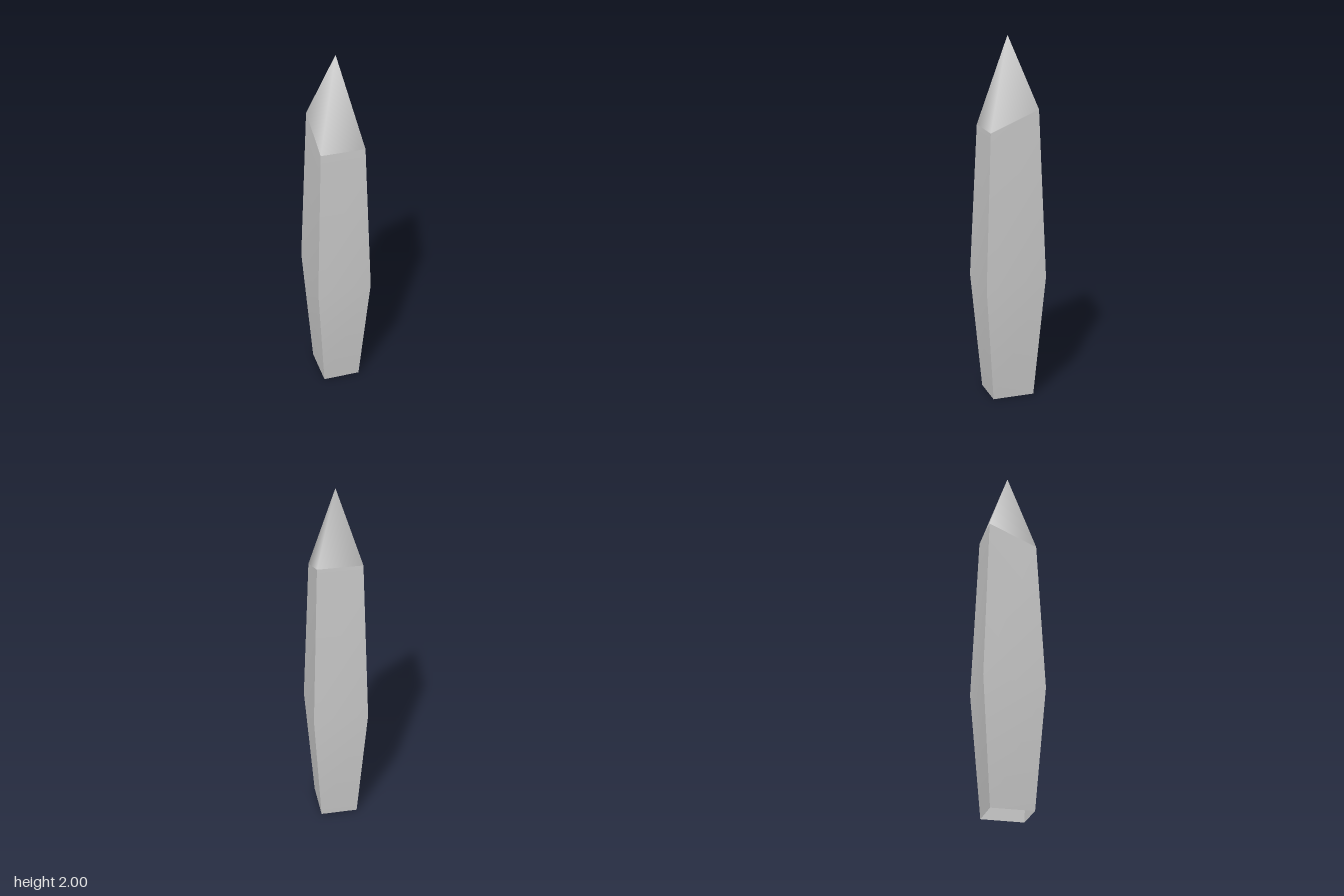
import * as THREE from 'three';

const material = new THREE.MeshStandardMaterial({ color: 0xcccccc, side: THREE.DoubleSide });

// Four corners of a rectangular section, counter-clockwise seen from above;
// the back pair may sit higher than the front pair.
const ring = (a, b, yFront, yBack) => [
  [-a, yFront, b], [a, yFront, b], [a, yBack, -b], [-a, yBack, -b],
];

function surface(name, points, index) {
  const geometry = new THREE.BufferGeometry();
  geometry.setAttribute('position', new THREE.Float32BufferAttribute(points.flat(), 3));
  geometry.setIndex(index);
  geometry.computeVertexNormals();
  const mesh = new THREE.Mesh(geometry, material);
  mesh.name = name;
  return mesh;
}

export function createModel() {
  const group = new THREE.Group();
  group.name = 'pointedPost';

  const shaft = new THREE.Group();
  shaft.name = 'shaft';
  shaft.rotation.y = Math.PI / 6;
  group.add(shaft);

  const bottom = ring(0.103, 0.117, 0, 0);
  const middle = ring(0.15, 0.169, 0.66, 0.7);
  const top = ring(0.12, 0.133, 1.51, 1.62);

  // Four walls, smooth along their height and sharp at the corners; base left open
  for (let i = 0; i < 4; i++) {
    const j = (i + 1) % 4;
    const points = [bottom, middle, top].flatMap((r) => [r[i], r[j]]);
    shaft.add(surface('wall' + (i + 1), points, [0, 1, 3, 0, 3, 2, 2, 3, 5, 2, 5, 4]));
  }

  // Smooth-shaded four-sided point
  const sides = [0, 1, 2, 3].flatMap((i) => [i, (i + 1) % 4, 4]);
  shaft.add(surface('tip', [...top, [0, 2, 0]], sides));

  return group;
}
